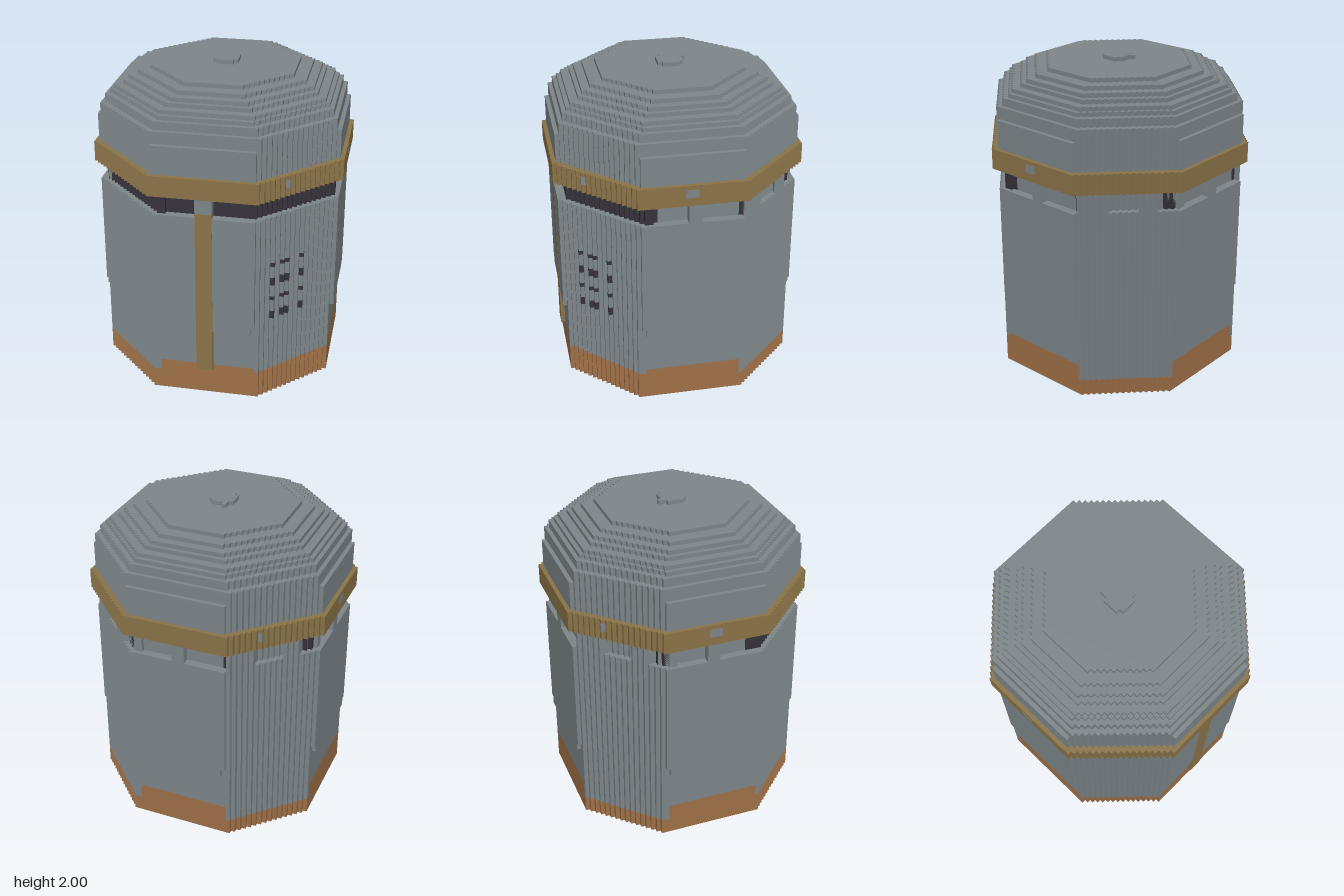
import * as THREE from 'three';

const U = 2 / 77; // size of one block
const mat = (name, color) => {
  const m = new THREE.MeshStandardMaterial({ color });
  m.name = name;
  return m;
};

// stepped octagon outline: half size h, flat half length a
function octagon(h, a) {
  const quarter = [[h, a]];
  for (let j = 1; j <= h - a; j++) quarter.push([h - j, a + j - 1], [h - j, a + j]);
  const pts = [];
  let q = quarter;
  for (let i = 0; i < 4; i++) {
    pts.push(...q);
    q = q.map(([x, y]) => [-y, x]);
  }
  return pts.map(([x, y]) => new THREE.Vector2(x, y));
}

// staircase strip across a corner, covering columns lo..hi, two blocks deep
function stairs(sum, lo, hi) {
  const outer = [], inner = [];
  for (let k = lo + 1; k <= hi; k++) {
    outer.push([k - 1, sum - k], [k, sum - k]);
    inner.push([k - 1, sum - k - 2], [k, sum - k - 2]);
  }
  return outer.concat(inner.reverse()).map(([x, y]) => new THREE.Vector2(x, y));
}

export function createModel() {
  const grey = mat('steel grey', 0x7e878b);
  const gold = mat('brass', 0x8b7448);
  const copper = mat('copper', 0xa07148);
  const dark = mat('dark opening', 0x35323a);

  const root = new THREE.Group();
  root.name = 'helmet';
  const body = new THREE.Group();
  body.name = 'blocks';
  body.scale.setScalar(U);
  root.add(body);

  const add = (parent, name, geo, m) => {
    const mesh = new THREE.Mesh(geo, m);
    mesh.name = name;
    parent.add(mesh);
  };
  const box = (parent, name, m, x0, x1, y0, y1, z0, z1) => {
    const g = new THREE.BoxGeometry(x1 - x0, y1 - y0, z1 - z0);
    g.translate((x0 + x1) / 2, (y0 + y1) / 2, (z0 + z1) / 2);
    add(parent, name, g, m);
  };
  const extrude = (parent, name, m, pts, y0, y1, hole) => {
    const s = new THREE.Shape(pts);
    if (hole) s.holes.push(new THREE.Path(hole));
    const g = new THREE.ExtrudeGeometry(s, { depth: y1 - y0, bevelEnabled: false });
    g.rotateX(Math.PI / 2);
    g.translate(0, y1, 0);
    add(parent, name, g, m);
  };

  // four sides, each a flat wall and the stepped corner beside it
  const rimHeights = [7, 4, 4, 5];
  const sides = ['front', 'left', 'back', 'right'].map((name, i) => {
    const s = new THREE.Group();
    s.name = name + 'Side';
    s.rotation.y = i * Math.PI / 2;
    body.add(s);
    const rim = rimHeights[i];
    box(s, 'flatRim', copper, -12, 12, 0, 8, 27, 28);
    box(s, 'flatWall', grey, -12, 12, 8, 18, 27, 28);
    box(s, 'plateFoot', grey, -11, 11, 18, 20, 28, 29);
    box(s, 'plateBack', grey, -12, 12, 18, 20, 27, 28);
    box(s, 'plate', grey, -12, 12, 20, 48, 27, 29);
    box(s, 'upperPlate', grey, -12, 12, 53, 65, 27, 29);
    extrude(s, 'cornerRim', copper, stairs(41, 12, 28), 0, rim);
    extrude(s, 'cornerWall', grey, stairs(41, 12, 28), rim, 48);
    extrude(s, 'upperCorner', grey, stairs(41, 12, 28), 53, 65);

    // recessed slit, dark towards the front
    const d = i === 0 ? [-12, 12] : i === 1 ? [-12, -8] : i === 3 ? [8, 12] : null;
    box(s, 'slitBack', i === 0 ? dark : grey, -12, 12, 47, 54, 26, 27);
    if (d && i) box(s, 'slitShade', dark, d[0], d[1], 48, 53, 26.9, 27.1);
    const frontCorner = i === 0 || i === 3;
    extrude(s, 'slitCorner', frontCorner ? dark : grey, stairs(39, 11, 28), 47, 54);
    if (!frontCorner) {
      extrude(s, 'cornerPost', grey, stairs(41, 12, 17), 48, 53);
      extrude(s, 'cornerPost', grey, stairs(41, 22, 25), 48, 53);
      extrude(s, 'cornerGap', dark, stairs(39.1, 25, 27), 48, 53);
      box(s, 'flatGap', dark, 11, 12, 48, 53, 26.9, 27.1);
    }
    if (i) {
      const x = i === 3 ? -2 : -1;
      box(s, 'flatPost', grey, x, x + 3, 48, 53, 27, 29);
    }
    return s;
  });

  // brass nose bar with a grey top
  box(body, 'noseBar', gold, -2, 2, 7, 49, 26.95, 29.05);
  box(body, 'noseBarTop', grey, -2, 2, 49, 53, 27, 29);

  // breathing holes on the front left corner
  for (const [y0, y1] of [[21, 23], [26, 27], [30, 32], [35, 36]]) {
    for (const k of [16, 18, 19, 22]) {
      box(body, 'breathHole', dark, k - 1.03, k + 0.03, y0, y1, 39 - k, 41.05 - k);
    }
  }

  // brass band with rivets
  extrude(body, 'band', gold, octagon(30, 13), 53, 58, octagon(29, 12));
  for (const i of [0, 2]) box(sides[i], 'cornerRivet', grey, 18, 19.04, 55, 57, 23, 24.05);
  for (const i of [1, 3]) box(sides[i], 'flatRivet', grey, -2, 1, 55, 57, 29.5, 30.05);

  // stepped dome: half size, flat half length, top height
  const tiers = [[28, 13, 68], [27, 12, 70], [26, 11, 71], [25, 11, 72], [23, 10, 73],
    [22, 9, 74], [20, 8, 75], [17, 7, 76]];
  let y = 65;
  tiers.forEach(([h, a, top], i) => {
    const next = tiers[i + 1];
    extrude(body, 'domeTier', grey, octagon(h, a), y, top,
      next && octagon(next[0] - 1, next[1] - 1));
    y = top;
  });
  extrude(body, 'crownKnob', grey, octagon(3, 2), 76, 77);
  box(body, 'crownKnobTab', grey, -2, -1, 76, 77, -4, -3);

  return root;
}
